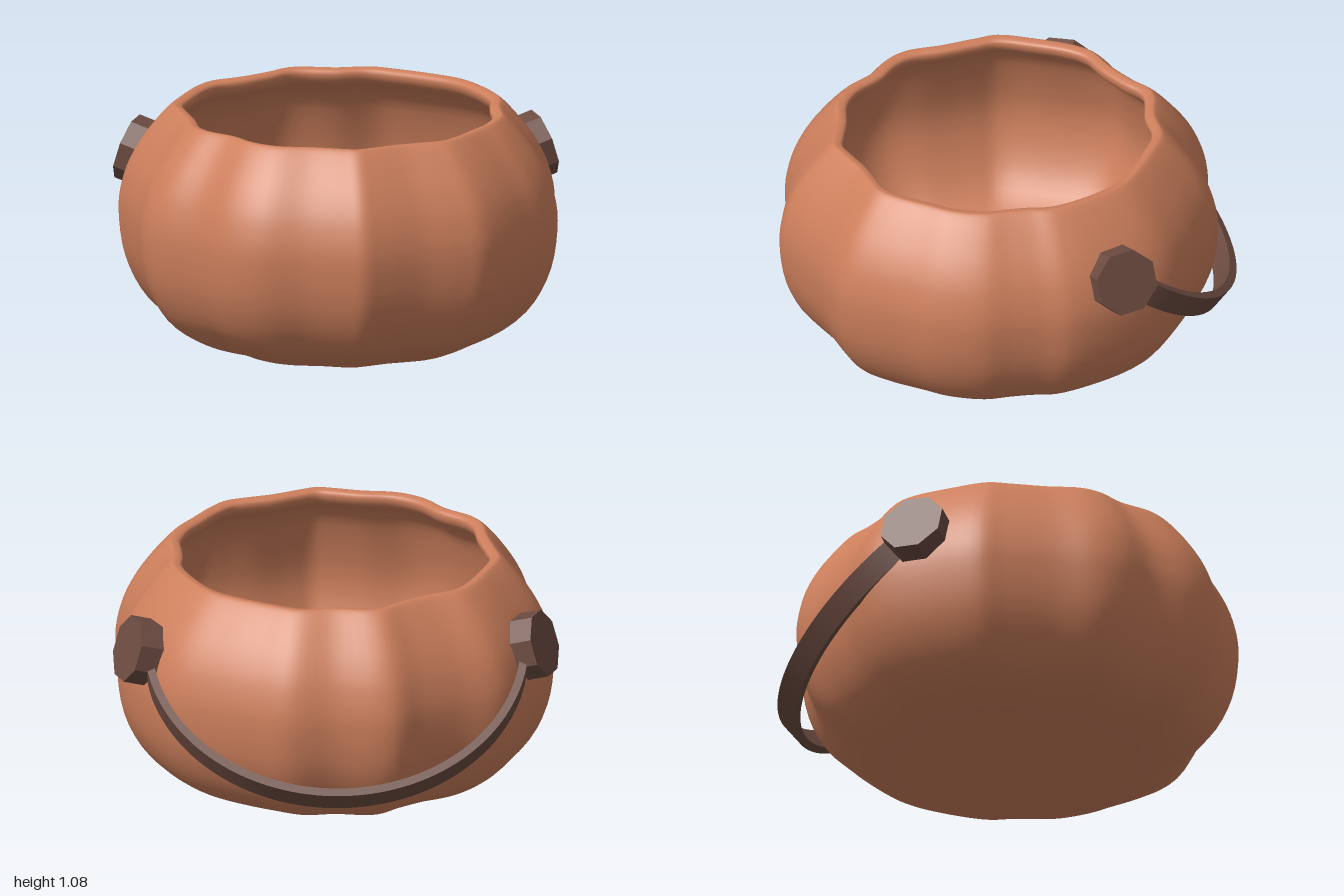
import * as THREE from 'three';
import { mergeVertices, toCreasedNormals } from 'three/addons/utils/BufferGeometryUtils.js';

const clay = new THREE.MeshStandardMaterial({ color: 0xcd7f5c });
clay.name = 'terracotta';
const brown = new THREE.MeshStandardMaterial({ color: 0x6d4c41 });
brown.name = 'dark brown';

// Lobed outline of the pot seen from above (x, z), from the front round past +x
const OUTLINE = [
  [0.11, 0.945], [0.2, 0.91], [0.37, 0.83], [0.53, 0.78], [0.63, 0.74], [0.72, 0.64],
  [0.82, 0.48], [0.9, 0.35], [0.955, 0.16], [0.945, 0.02], [0.94, -0.1], [0.945, -0.24],
  [0.86, -0.47], [0.73, -0.67], [0.56, -0.79], [0.37, -0.89], [0.21, -0.955], [0.01, -0.935],
  [-0.25, -0.95], [-0.39, -0.84], [-0.55, -0.73], [-0.71, -0.65], [-0.79, -0.55], [-0.88, -0.34],
  [-0.945, -0.13], [-0.92, 0], [-0.87, 0.21], [-0.84, 0.4], [-0.775, 0.505], [-0.63, 0.62],
  [-0.5, 0.78], [-0.35, 0.865], [-0.15, 0.89], [0.02, 0.93],
];

// Wall section (scale of the outline, height): outside, over the rim, then inside
const SECTION = [
  [0, 0], [0.25, 0.008], [0.5, 0.045], [0.7, 0.105], [0.87, 0.22], [0.97, 0.4], [1, 0.61],
  [0.975, 0.76], [0.92, 0.88], [0.84, 0.99], [0.765, 1.07], [0.735, 1.08], [0.705, 1.065],
  [0.72, 1.02], [0.8, 0.96], [0.88, 0.86], [0.955, 0.61], [0.925, 0.41], [0.82, 0.24],
  [0.64, 0.14], [0.42, 0.09], [0, 0.06],
];

function potGeometry() {
  const around = 170;
  const rows = new THREE.SplineCurve(SECTION.map(([r, y]) => new THREE.Vector2(r, y)))
    .getPoints(84)
    .map((p) => new THREE.Vector2(Math.max(0, p.x), Math.max(0, p.y)));
  const outline = new THREE.CatmullRomCurve3(
    OUTLINE.map(([x, z]) => new THREE.Vector3(x, 0, z)), true);
  const geo = new THREE.LatheGeometry(rows, around);
  const pos = geo.attributes.position;
  // Replace each circle of the lathe by the lobed outline
  for (let i = 0; i <= around; i++) {
    const p = outline.getPoint((i % around) / around);
    rows.forEach((row, j) => {
      pos.setXYZ(i * rows.length + j, p.x * row.x, row.y, p.z * row.x);
    });
  }
  geo.deleteAttribute('uv');
  geo.deleteAttribute('normal');
  const merged = mergeVertices(geo, 1e-5);
  merged.computeVertexNormals();
  return merged;
}

// Flat strap bent into half an ellipse
function strapGeometry() {
  const shape = new THREE.Shape();
  shape.absellipse(0, 0, 0.835, 0.76, 0, Math.PI, false);
  shape.lineTo(-0.8, 0);
  shape.absellipse(0, 0, 0.8, 0.722, Math.PI, 0, true);
  shape.closePath();
  const geo = new THREE.ExtrudeGeometry(shape, { depth: 0.11, bevelEnabled: false, curveSegments: 36 });
  geo.translate(0, 0, -0.055);
  return toCreasedNormals(geo, 0.5);
}

export function createModel() {
  const model = new THREE.Group();
  model.name = 'potWithHandle';

  const pot = new THREE.Mesh(potGeometry(), clay);
  pot.name = 'pot';
  pot.position.z = 0.05;
  model.add(pot);

  // Handle hanging down behind the pot
  const handle = new THREE.Group();
  handle.name = 'handle';
  handle.position.set(0, 0.79, -0.38);
  handle.rotation.y = 0.03;
  const strap = new THREE.Mesh(strapGeometry(), brown);
  strap.name = 'handleStrap';
  strap.rotation.x = -2.264;
  handle.add(strap);
  model.add(handle);

  // Octagonal knobs that hold the handle ends
  const knobGeo = new THREE.CylinderGeometry(0.147, 0.147, 0.11, 8).toNonIndexed();
  knobGeo.computeVertexNormals();
  for (const [side, z, name] of [[1, -0.41, 'leftKnob'], [-1, -0.35, 'rightKnob']]) {
    const knob = new THREE.Mesh(knobGeo, brown);
    knob.name = name;
    knob.position.set(side * 0.855, 0.79, z);
    const axis = new THREE.Vector3(side * 0.9, 0.3, -0.32).normalize();
    knob.quaternion.setFromUnitVectors(new THREE.Vector3(0, 1, 0), axis);
    model.add(knob);
  }
  return model;
}
